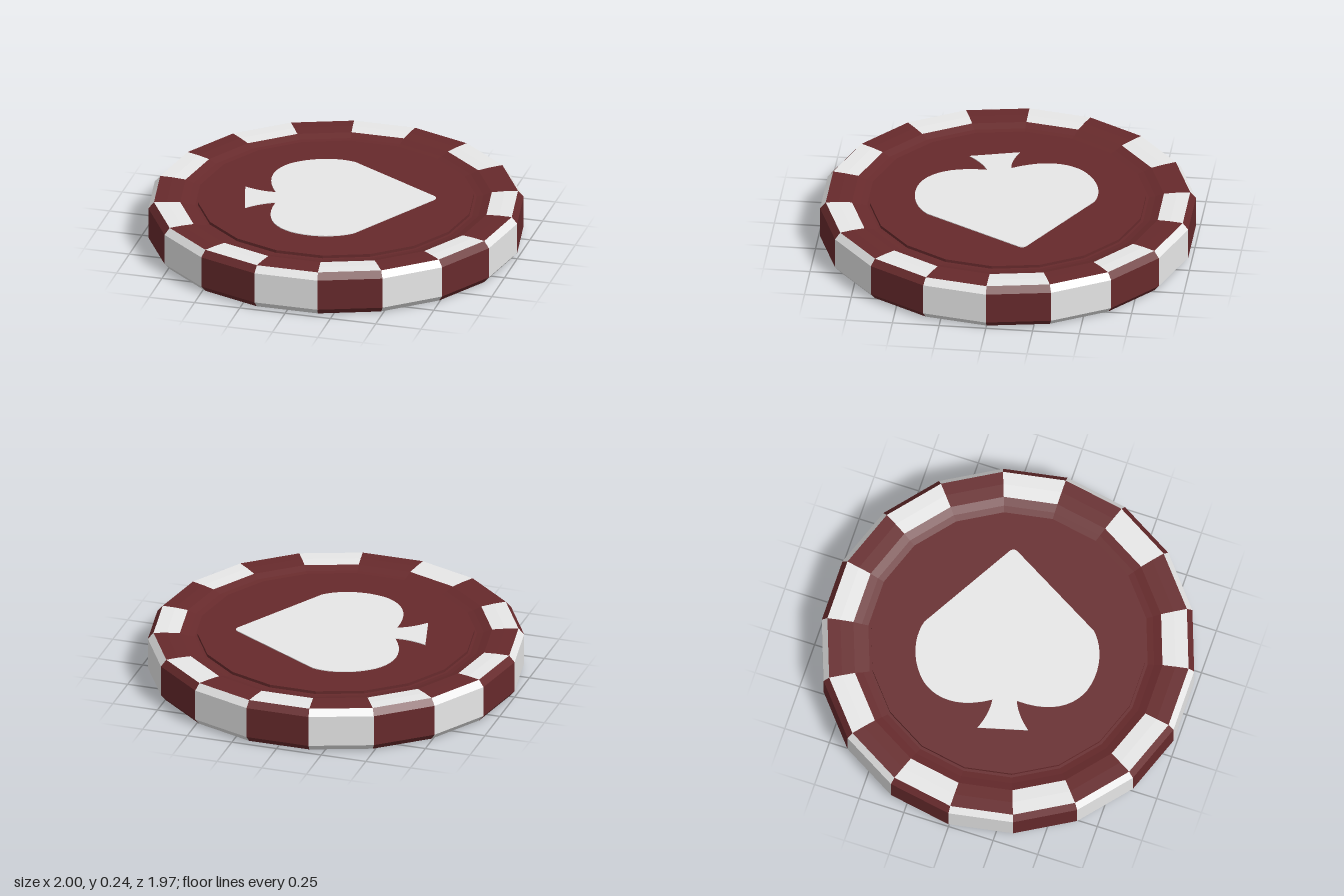
import * as THREE from 'three';
import { mergeGeometries } from 'three/addons/utils/BufferGeometryUtils.js';

const SIDES = 18;
const STEP = (Math.PI * 2) / SIDES;
const H = 0.24;

// One flat-sided sector of a turned profile (points run bottom, outside, top)
function sector(profile, i) {
  const pts = profile.map(([r, y]) => new THREE.Vector2(r, y));
  const geo = new THREE.LatheGeometry(pts, 1, Math.PI / 2 - (i + 1) * STEP, STEP).toNonIndexed();
  geo.computeVertexNormals();
  return geo;
}

// Sectors of a profile whose index passes the test, joined together
function band(profile, test) {
  const parts = [];
  for (let i = 0; i < SIDES; i++) if (test(i)) parts.push(sector(profile, i));
  return mergeGeometries(parts);
}

// Spade outline pointing along +x, one half mirrored
function spadeShape() {
  const s = new THREE.Shape();
  s.moveTo(-0.483, -0.135);
  s.quadraticCurveTo(-0.4, -0.075, -0.32, -0.065);
  s.bezierCurveTo(-0.38, -0.25, -0.33, -0.37, -0.24, -0.435);
  s.bezierCurveTo(-0.12, -0.51, 0.02, -0.5, 0.1, -0.45);
  s.lineTo(0.515, -0.03);
  s.quadraticCurveTo(0.55, 0, 0.515, 0.03);
  s.lineTo(0.1, 0.45);
  s.bezierCurveTo(0.02, 0.5, -0.12, 0.51, -0.24, 0.435);
  s.bezierCurveTo(-0.33, 0.37, -0.38, 0.25, -0.32, 0.065);
  s.quadraticCurveTo(-0.4, 0.075, -0.483, 0.135);
  s.closePath();
  return s;
}

export function createModel() {
  const group = new THREE.Group();
  const red = new THREE.MeshStandardMaterial({ color: 0x672a2c });
  red.name = 'darkRed';
  const white = new THREE.MeshStandardMaterial({ color: 0xe7e7e7 });
  white.name = 'white';

  const add = (name, geo, mat) => {
    const mesh = new THREE.Mesh(geo, mat);
    mesh.name = name;
    group.add(mesh);
    return mesh;
  };
  const flip = (profile) => profile.map(([r, y]) => [r, H - y]).reverse();
  const even = (i) => i % 2 === 0;
  const odd = (i) => i % 2 === 1;

  // Outer wall with chamfers, alternating colours
  const wall = [[0.97, 0], [1, 0.035], [1, H - 0.035], [0.97, H]];
  add('wallWhite', band(wall, even), white);
  add('wallRed', band(wall, odd), red);

  // Rim faces: the stripes are staggered between top and bottom
  const rim = [[0.97, H], [0.9, H], [0.83, 0.236]];
  add('topRimWhite', band(rim, odd), white);
  add('topRimRed', band(rim, even), red);
  add('bottomRimWhite', band(flip(rim), even), white);
  add('bottomRimRed', band(flip(rim), odd), red);

  // Shallow groove between rim and centre disc
  const groove = [[0.83, 0.236], [0.785, 0.222], [0.75, 0.215], [0.72, 0.215]];
  add('topGroove', band(groove, () => true), red);
  add('bottomGroove', band(flip(groove), () => true), red);

  // Centre disc
  const disc = new THREE.CylinderGeometry(0.735, 0.735, H - 0.018, SIDES, 1, false, STEP / 2).toNonIndexed();
  disc.computeVertexNormals();
  add('centreDisc', disc, red).position.y = H / 2;

  // Thin spade inlays on both faces
  const spade = new THREE.ExtrudeGeometry(spadeShape(), { depth: 0.005, bevelEnabled: false, curveSegments: 10 });
  spade.rotateX(-Math.PI / 2);
  const top = add('topSpade', spade, white);
  top.position.y = H - 0.01;
  top.rotation.y = THREE.MathUtils.degToRad(15.2);
  const bottom = add('bottomSpade', spade, white);
  bottom.position.y = 0.005;
  bottom.rotation.y = THREE.MathUtils.degToRad(-78);

  return group;
}
